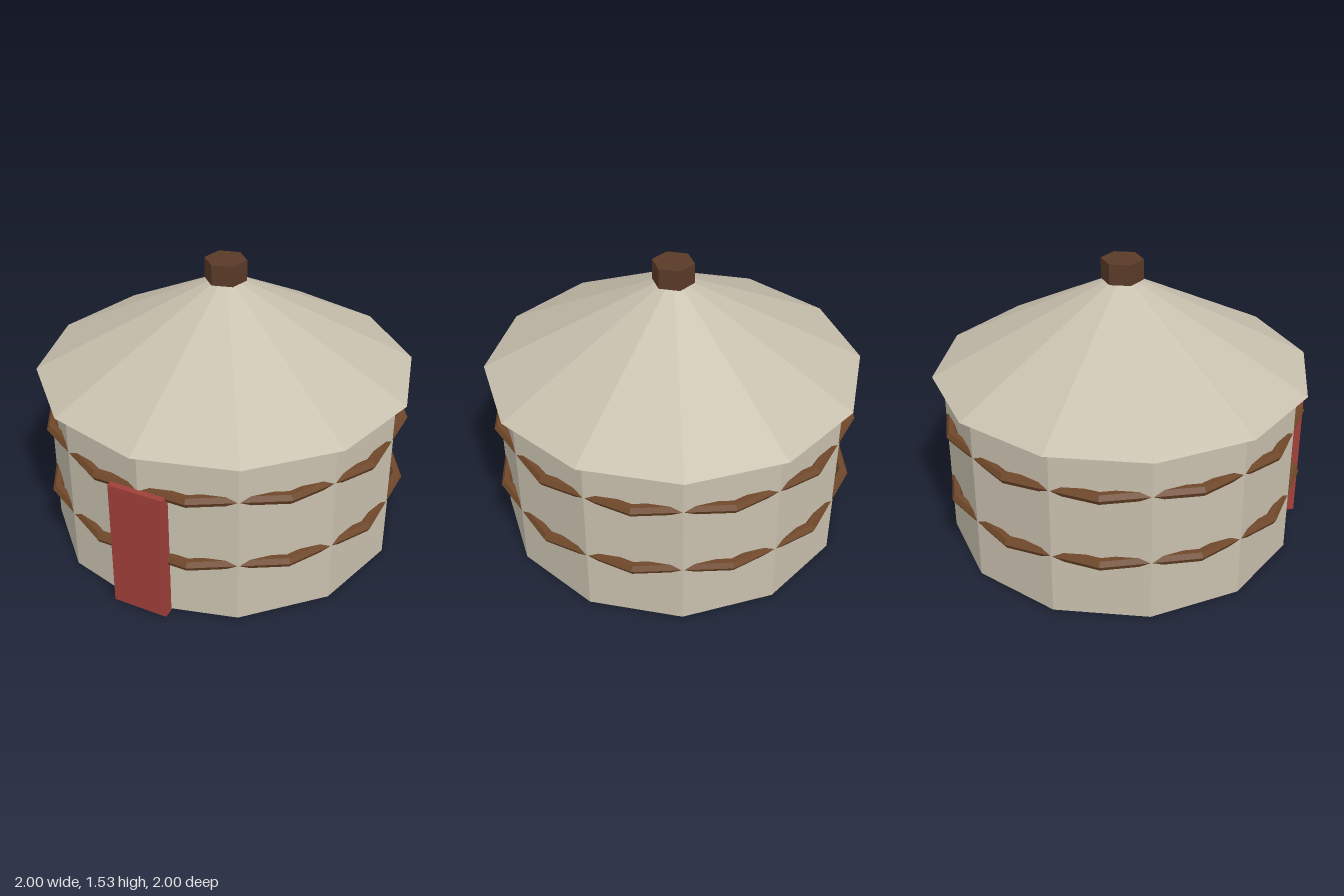
import * as THREE from 'three';

const material = (name, color) => {
  const m = new THREE.MeshStandardMaterial({ color });
  m.name = name;
  return m;
};

export function createModel() {
  const felt = material('felt', 0xc8c0ae);
  const rope = material('rope brown', 0x70482a);
  const wood = material('dark wood', 0x5a3a28);
  const red = material('door red', 0xa0403a);
  const sides = 12;

  const group = new THREE.Group();
  group.name = 'roundTent';
  const add = (name, geometry, mat, y, z = 0) => {
    // split the vertices so every facet is flat
    const flat = geometry.index ? geometry.toNonIndexed() : geometry;
    flat.computeVertexNormals();
    const mesh = new THREE.Mesh(flat, mat);
    mesh.name = name;
    mesh.position.set(0, y, z);
    group.add(mesh);
    return mesh;
  };

  // Twelve-sided wall and overhanging roof
  add('wall', new THREE.CylinderGeometry(0.944, 0.944, 0.93, sides), felt, 0.465);
  add('roof', new THREE.ConeGeometry(1, 0.53, sides), felt, 0.93 + 0.265);

  // Six-sided crown on the roof
  add('crown', new THREE.CylinderGeometry(0.11, 0.11, 0.11, 6), wood, 1.475).rotation.y = Math.PI / 4;

  // Ropes: their corners sit over the middle of each wall panel
  for (const [name, y] of [['lowerRope', 0.33], ['upperRope', 0.71]]) {
    const ring = new THREE.TorusGeometry(0.946, 0.03, 6, sides);
    ring.rotateX(Math.PI / 2).rotateY(Math.PI / sides);
    add(name, ring, rope, y);
  }

  // Door
  add('door', new THREE.BoxGeometry(0.296, 0.715, 0.056), red, 0.3575, 0.944);

  return group;
}
